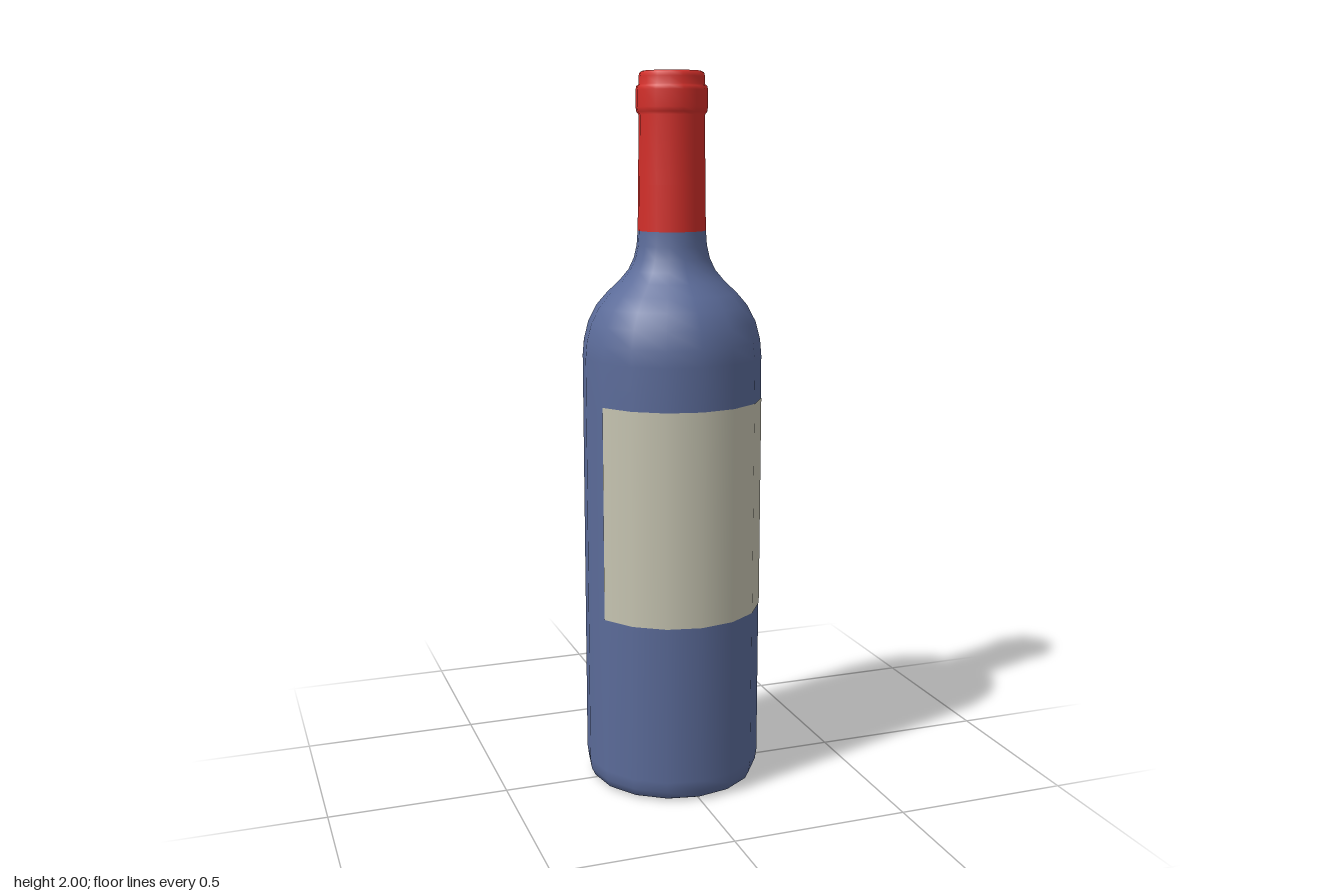
import * as THREE from 'three';

const SIDES = 16;

// Revolves a list of [radius, height] points, bottom to top
function lathe(name, profile, color, sides = SIDES, start = 0, sweep = Math.PI * 2) {
  const points = profile.map(([r, y]) => new THREE.Vector2(r, y));
  const material = new THREE.MeshStandardMaterial({ color });
  if (sweep < Math.PI * 2) material.side = THREE.DoubleSide;
  const mesh = new THREE.Mesh(new THREE.LatheGeometry(points, sides, start, sweep), material);
  mesh.name = name;
  return mesh;
}

export function createModel() {
  const bottle = new THREE.Group();
  bottle.name = 'bottle';

  // Glass: hollow underside, rounded foot, straight body, shoulder and neck
  bottle.add(lathe('glassBody', [
    [0, 0.09], [0.07, 0.082], [0.13, 0.058], [0.18, 0.02], [0.205, 0.002],
    [0.22, 0], [0.236, 0.008], [0.246, 0.03], [0.25, 0.06],
    [0.25, 0.5], [0.25, 1.1], [0.25, 1.23], [0.246, 1.275], [0.233, 1.325],
    [0.21, 1.37], [0.18, 1.405], [0.145, 1.438], [0.12, 1.468],
    [0.105, 1.5], [0.097, 1.535], [0.094, 1.575],
  ], 0x5b6b99));

  // Foil capsule with a rolled lip and a closed top
  bottle.add(lathe('foilCapsule', [
    [0.094, 1.57], [0.092, 1.7], [0.09, 1.885], [0.096, 1.893], [0.098, 1.905],
    [0.098, 1.95], [0.096, 1.96], [0.09, 1.965], [0.09, 1.985],
    [0.087, 1.996], [0.08, 2], [0, 2],
  ], 0xd32f2a));

  // Label wrapped round the front, on the same facets as the glass
  const step = (Math.PI * 2) / SIDES;
  bottle.add(lathe('label', [[0.2515, 0.51], [0.2515, 1.11]], 0xc6c4b1, 6, -3 * step, 6 * step));

  return bottle;
}
